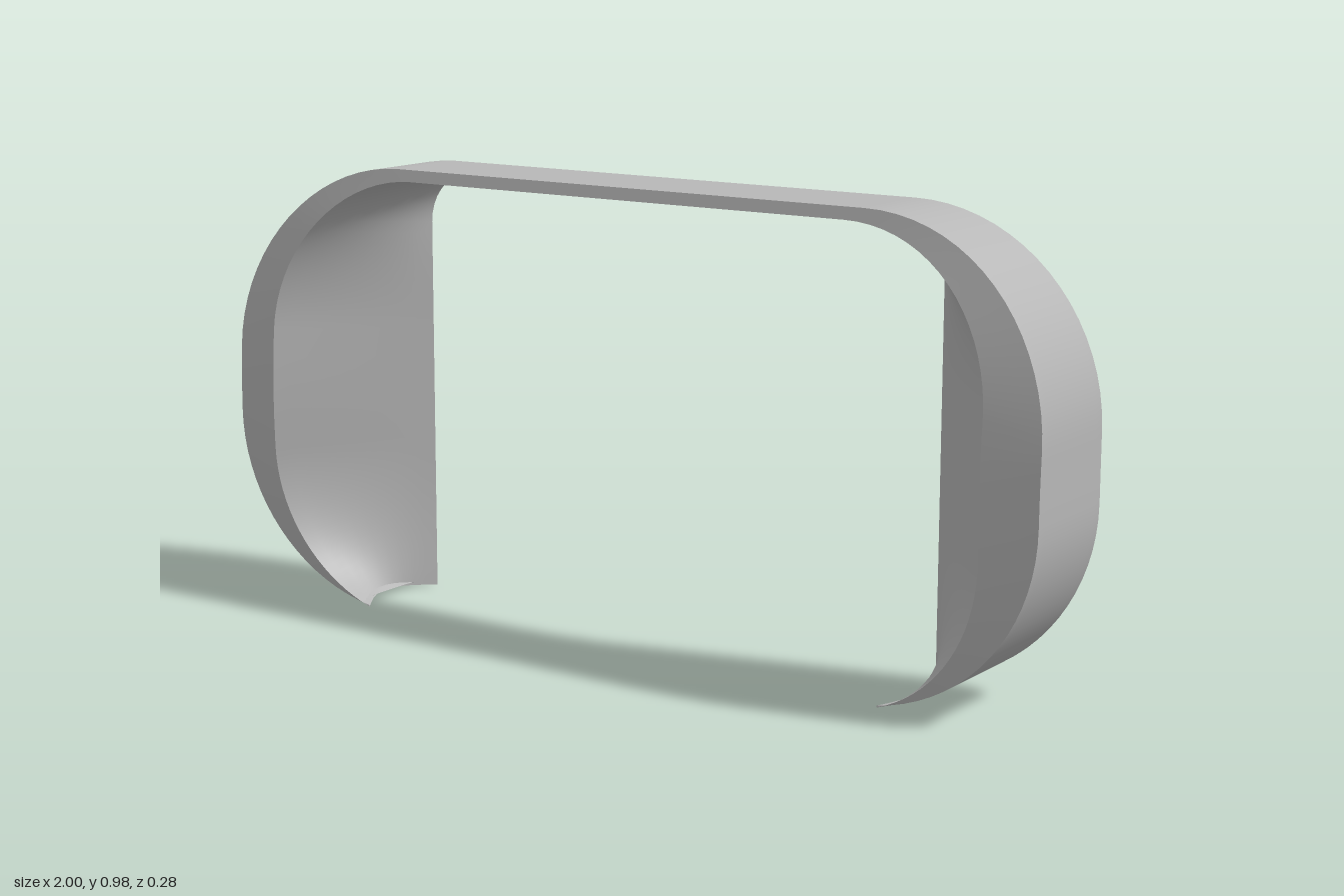
import * as THREE from 'three';

const ARC = 18, STRAIGHT = 4, DEPTH = 10, BACK = -0.14;
const lerp = (a, b, t) => a + (b - a) * t;
const onArc = (cx, cy, rx, ry, a) => [cx + rx * Math.cos(a), cy + ry * Math.sin(a)];

// rounded outline of one leg: s 0..1 lower curve, 1..2 upright, 2..3 upper curve
function outline(s, cx, low, high, rx, ryLow, ryHigh, tipX) {
  if (s <= 1) return onArc(cx, low, rx, ryLow, -Math.acos((tipX - cx) / rx) * (1 - s));
  if (s <= 2) return [cx + rx, lerp(low, high, s - 1)];
  return onArc(cx, high, rx, ryHigh, (s - 2) * Math.PI / 2);
}
const outer = (s) => outline(s, 0.58, 0.415, 0.56, 0.42, 0.415, 0.42, 0.65);
const frontInner = (s) => outline(s, 0.54, 0.345, 0.61, 0.345, 0.362, 0.345, 0.65);

// inner edge of the flat back: straight, with a small rounded top corner
function backInner(s) {
  if (s <= 1) return [0.65, 0.35 * s];
  if (s <= 2) return [0.65, lerp(0.35, 0.6, s - 1)];
  if (s <= 2.5) return [0.65, lerp(0.6, 0.84, (s - 2) * 2)];
  return onArc(0.535, 0.84, 0.115, 0.115, (s - 2.5) * Math.PI);
}

// front edges bulge forward around mid height
const bulge = (y, mid, peak, low, high, top) =>
  peak - (y < mid ? (peak - low) * ((mid - y) / mid) ** 2 : (peak - high) * ((y - mid) / (top - mid)) ** 2);
const outerZ = (y) => bulge(y, 0.42, 0.118, 0.10, 0.06, 0.98);
const innerZ = (y) => bulge(y, 0.45, 0.14, 0.10, 0.068, 0.955);

// stations along one leg, bottom to top
const stations = [];
for (let i = 0; i < ARC; i++) stations.push(i / ARC);
for (let i = 0; i < STRAIGHT; i++) stations.push(1 + i / STRAIGHT);
for (let i = 0; i <= ARC; i++) stations.push(2 + i / ARC);

// surface swept up the left leg, across the bar and down the right leg
function sweep(point, columns) {
  const half = stations.map((s) =>
    Array.from({ length: columns + 1 }, (_, c) => point(s, c / columns)));
  const mirrored = half.map((row) => row.map(([x, y, z]) => [-x, y, z])).reverse();
  const rows = [...half, ...mirrored], n = columns + 1, index = [];
  for (let r = 0; r < rows.length - 1; r++) {
    for (let c = 0; c < columns; c++) {
      const a = r * n + c, b = a + n;
      index.push(a, b, a + 1, b, b + 1, a + 1);
    }
  }
  const g = new THREE.BufferGeometry();
  g.setAttribute('position', new THREE.Float32BufferAttribute(rows.flat(2), 3));
  g.setIndex(index);
  g.computeVertexNormals();
  return g;
}

export function createModel() {
  const grey = new THREE.MeshStandardMaterial({ color: 0xb8b8b8, side: THREE.DoubleSide });
  grey.name = 'plain grey';
  const group = new THREE.Group();
  group.name = 'archedFrame';
  const add = (name, point, columns) => {
    const mesh = new THREE.Mesh(sweep(point, columns), grey);
    mesh.name = name;
    group.add(mesh);
  };

  // outer band, scooped at its lower tips
  add('outerBand', (s, t) => {
    const [x, y] = outer(s);
    const scoop = s === 0 ? Math.sin(Math.PI * t) : 0;
    return [x + 0.05 * scoop, y + 0.008 * scoop, lerp(BACK, outerZ(y), t)];
  }, DEPTH);

  // narrow curved rim around the front
  add('frontRim', (s, t) => {
    const [x, y] = outer(s), [u, v] = frontInner(s);
    return [lerp(x, u, t), lerp(y, v, t), lerp(outerZ(y), innerZ(v), t)];
  }, 1);

  // sloping inner walls, hollowed towards the lower tips
  add('innerWall', (s, t) => {
    const [x, y] = frontInner(s), [u, v] = backInner(s);
    const scoop = Math.sin(Math.PI * t) * Math.max(0, 1 - s) ** 3;
    return [lerp(x, u, t) + 0.05 * scoop, lerp(y, v, t) + 0.008 * scoop, lerp(innerZ(y), BACK, t)];
  }, DEPTH);

  // flat back
  add('backFace', (s, t) => {
    const [x, y] = backInner(s), [u, v] = outer(s);
    return [lerp(x, u, t), lerp(y, v, t), BACK];
  }, 1);

  return group;
}
